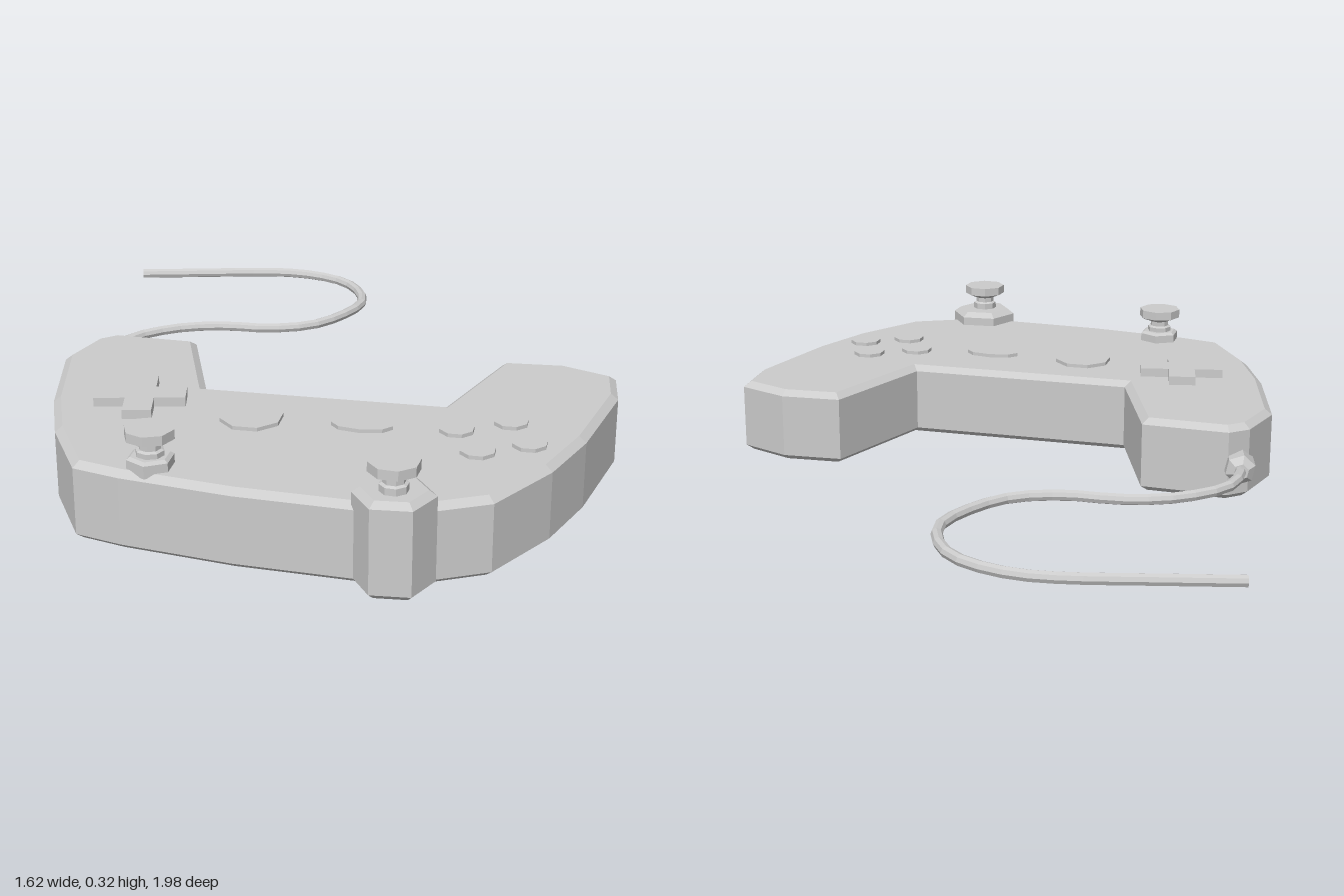
import * as THREE from 'three';

const mat = new THREE.MeshStandardMaterial({ color: 0xcccccc, flatShading: true });

function add(parent, name, geometry, x = 0, y = 0, z = 0) {
  const mesh = new THREE.Mesh(geometry, mat);
  mesh.name = name;
  mesh.position.set(x, y, z);
  parent.add(mesh);
  return mesh;
}

// Plan outline of (x, z) points, extruded from y = 0 up to the given height with bevelled rims
function slab(points, height, bevelIn, bevelUp) {
  const shape = new THREE.Shape(points.map(([x, z]) => new THREE.Vector2(x, z)));
  const geo = new THREE.ExtrudeGeometry(shape, {
    depth: height - 2 * bevelUp, bevelEnabled: bevelUp > 0, bevelSegments: 1,
    bevelSize: bevelIn, bevelOffset: -bevelIn, bevelThickness: bevelUp,
  });
  geo.rotateX(Math.PI / 2);
  geo.translate(0, height - bevelUp, 0);
  return geo;
}

// Faceted solid of revolution from (radius, y) pairs listed bottom to top
function turned(profile, sides) {
  return new THREE.LatheGeometry(profile.map(([r, y]) => new THREE.Vector2(r, y)), sides);
}

export function createModel() {
  const group = new THREE.Group();
  group.name = 'gamepad';
  const top = 0.21;

  // Body with two grips pointing back
  const outline = [
    [-0.64, -0.065], [-0.40, -0.055], [-0.28, 0.285], [0.36, 0.285], [0.48, -0.06], [0.65, -0.07],
    [0.795, -0.01], [0.807, 0.13], [0.74, 0.43], [0.67, 0.62], [0.55, 0.82], [0.39, 0.90],
    [0.24, 0.915], [-0.06, 0.897], [-0.35, 0.853], [-0.475, 0.82], [-0.59, 0.62], [-0.66, 0.43],
    [-0.73, 0.13], [-0.69, -0.02],
  ];
  add(group, 'body', slab(outline, top, 0.02, 0.016));

  // Cross-shaped direction pad
  const a = 0.12, b = 0.038;
  const cross = [[-b, -a], [b, -a], [b, -b], [a, -b], [a, b], [b, b],
    [b, a], [-b, a], [-b, b], [-a, b], [-a, -b], [-b, -b]];
  const pad = add(group, 'directionPad', slab(cross, 0.035, 0, 0), -0.423, 0.2, 0.417);
  pad.rotation.y = 0.2;

  // Centre buttons
  const disc = (r) => new THREE.CylinderGeometry(r, r, 0.02, 8);
  add(group, 'centreButton', disc(0.083), -0.11, top, 0.477).rotation.y = Math.PI / 8;
  add(group, 'ovalButton', disc(0.08).scale(1, 1, 0.45), 0.177, top, 0.477);

  // Four action buttons
  for (const [x, z] of [[0.416, 0.453], [0.546, 0.38], [0.604, 0.507], [0.483, 0.575]]) {
    add(group, 'actionButton', disc(0.046), x, top, z).rotation.y = Math.PI / 8;
  }

  // Thumbsticks: a collar, a thin neck and a flared cap
  const stick = (name, x, y, z) => {
    const profile = [[0, -0.01], [0.036, -0.01], [0.036, 0.018], [0.028, 0.022], [0.028, 0.036],
      [0.063, 0.05], [0.063, 0.075], [0, 0.075]];
    return add(group, name, turned(profile, 8), x, y, z);
  };
  stick('rightThumbstick', -0.283, 0.235, 0.80);
  add(group, 'rightStickCollar', turned([[0, 0], [0.06, 0], [0.06, 0.033], [0.05, 0.04], [0, 0.04]], 6),
    -0.283, 0.2, 0.80);
  stick('leftThumbstick', 0.327, 0.25, 0.905).rotation.y = 0.3;

  // Tall hexagonal post carrying the left stick
  const post = turned([[0, 0], [0.08, 0], [0.1, 0.016], [0.1, 0.235], [0.08, 0.25], [0, 0.25]], 6);
  add(group, 'stickPost', post, 0.327, 0, 0.896).rotation.y = Math.PI / 6 + 0.07;

  // Cable fitting on the rear of the right grip
  const fitting = turned([[0, -0.06], [0.042, -0.06], [0.042, 0.03], [0.022, 0.05], [0, 0.05]], 6);
  const plug = add(group, 'cableFitting', fitting, -0.672, 0.1, -0.065);
  plug.quaternion.setFromUnitVectors(new THREE.Vector3(0, 1, 0),
    new THREE.Vector3(-0.22, 0.05, -1).normalize());

  // Winding cable with closed end
  const path = [
    [-0.675, 0.1, -0.08], [-0.687, 0.112, -0.19], [-0.662, 0.113, -0.285], [-0.55, 0.113, -0.39],
    [-0.42, 0.113, -0.435], [-0.28, 0.113, -0.442], [-0.155, 0.113, -0.495], [-0.075, 0.113, -0.605],
    [-0.037, 0.113, -0.73], [-0.068, 0.113, -0.84], [-0.13, 0.113, -0.92], [-0.225, 0.113, -0.968],
    [-0.325, 0.113, -0.983], [-0.42, 0.113, -0.972], [-0.6, 0.113, -0.93], [-0.81, 0.113, -0.88],
  ].map((p) => new THREE.Vector3(...p));
  const curve = new THREE.CatmullRomCurve3(path);
  add(group, 'cable', new THREE.TubeGeometry(curve, 32, 0.015, 8));
  const end = curve.getPoint(1);
  const cap = add(group, 'cableEnd', new THREE.CircleGeometry(0.015, 8), end.x, end.y, end.z);
  cap.quaternion.setFromUnitVectors(new THREE.Vector3(0, 0, 1), curve.getTangent(1));

  return group;
}
